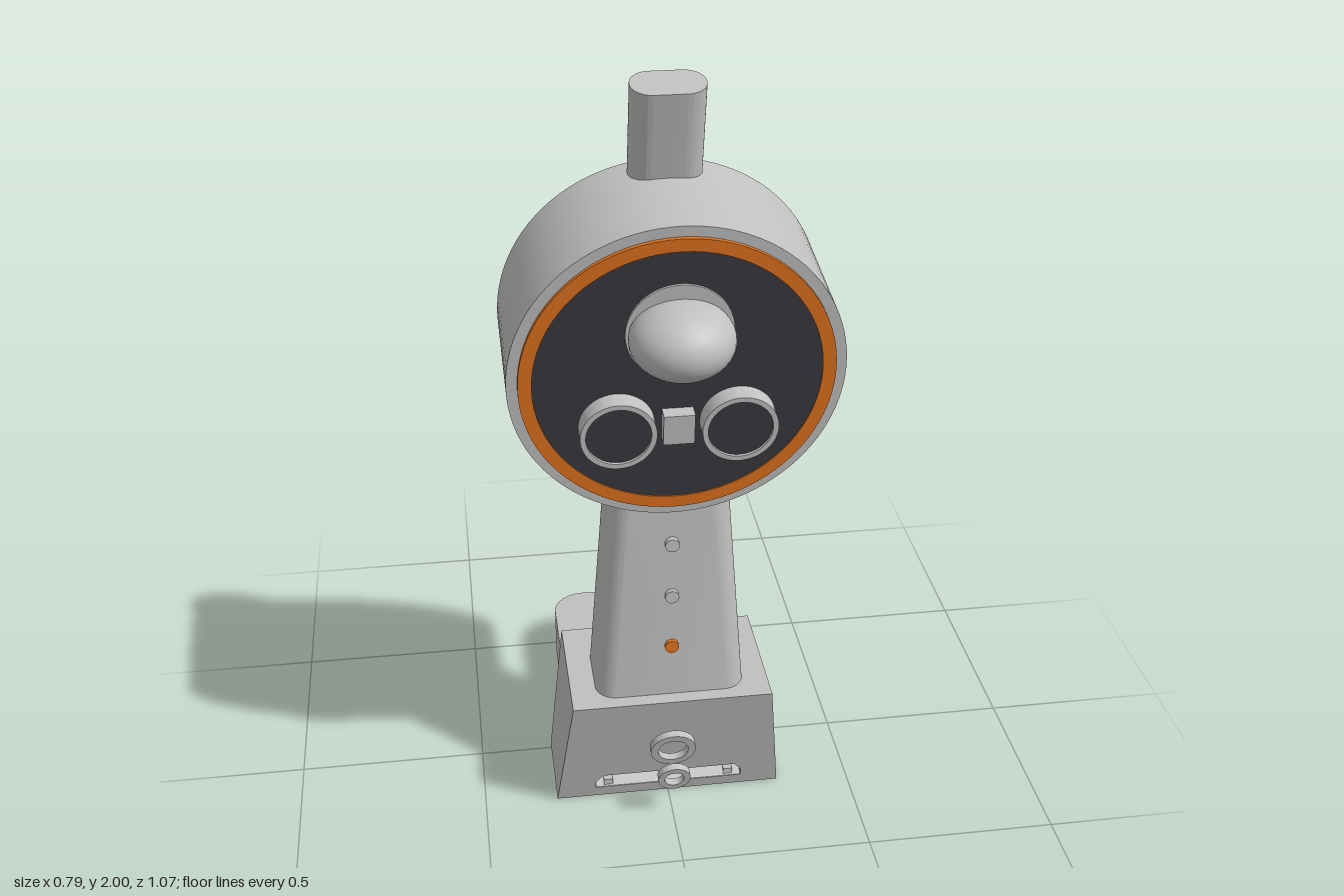
import * as THREE from 'three';
import { toCreasedNormals } from 'three/addons/utils/BufferGeometryUtils.js';

const mat = (name, color) => {
  const m = new THREE.MeshStandardMaterial({ color });
  m.name = name;
  return m;
};

// Rounded rectangle centred on the origin, counter-clockwise
function roundRect(hw, hh, r) {
  const s = new THREE.Shape();
  s.absarc(hw - r, -hh + r, r, -Math.PI / 2, 0);
  s.absarc(hw - r, hh - r, r, 0, Math.PI / 2);
  s.absarc(-hw + r, hh - r, r, Math.PI / 2, Math.PI);
  s.absarc(-hw + r, -hh + r, r, Math.PI, Math.PI * 1.5);
  s.closePath();
  return s;
}

// Horizontal ring of [x, y, z] points from a rounded rectangle
const ringAt = (y, hw, hd, r, zc = 0) =>
  roundRect(hw, hd, r).getPoints(10).slice(0, -1).map((p) => [p.x, y, zc - p.y]);

// Closed solid between a lower and an upper ring with equal point counts
function loft(a, b) {
  const pos = [];
  const n = a.length;
  const mid = (r) => [0, 1, 2].map((k) => r.reduce((s, p) => s + p[k], 0) / n);
  const ca = mid(a), cb = mid(b);
  for (let i = 0; i < n; i++) {
    const j = (i + 1) % n;
    pos.push(...a[i], ...a[j], ...b[j], ...a[i], ...b[j], ...b[i]);
    pos.push(...cb, ...b[i], ...b[j], ...ca, ...a[j], ...a[i]);
  }
  const g = new THREE.BufferGeometry();
  g.setAttribute('position', new THREE.Float32BufferAttribute(pos, 3));
  return toCreasedNormals(g, 0.6);
}

// Flat ring facing +z, from z = 0 to z = depth
function annulus(outer, inner, depth) {
  const s = new THREE.Shape().absarc(0, 0, outer, 0, Math.PI * 2);
  s.holes.push(new THREE.Path().absarc(0, 0, inner, 0, Math.PI * 2, true));
  const g = new THREE.ExtrudeGeometry(s, { depth, bevelEnabled: false, curveSegments: 40 });
  return toCreasedNormals(g, 0.6);
}

// Solid disc along z, centred
const disc = (r, depth, seg = 48) => new THREE.CylinderGeometry(r, r, depth, seg).rotateX(Math.PI / 2);

export function createModel() {
  const grey = mat('light grey', 0xc0c0c0);
  const dark = mat('dark panel', 0x3a3a40);
  const orange = mat('orange', 0xe0731d);
  const model = new THREE.Group();
  const add = (parent, name, geo, material, x = 0, y = 0, z = 0) => {
    const m = new THREE.Mesh(geo, material);
    m.name = name;
    m.position.set(x, y, z);
    parent.add(m);
    return m;
  };

  // Base body, with small chamfers at the lower back corners
  const bodyRing = (y, hw, front, c) => [
    [-hw, y, front], [hw, y, front], [hw, y, -0.042 + c], [hw - c, y, -0.042],
    [-hw + c, y, -0.042], [-hw, y, -0.042 + c],
  ];
  add(model, 'baseBody', loft(bodyRing(0, 0.305, 0.157, 0.024), bodyRing(0.375, 0.262, 0.253, 0.001)), grey);

  // Sloping front panel with a slot near the bottom
  const panel = new THREE.Shape([[-0.305, 0], [0.305, 0], [0.262, 0.375], [-0.262, 0.375]]
    .map((p) => new THREE.Vector2(...p)));
  panel.holes.push(new THREE.Path([[-0.2, 0.035], [-0.2, 0.06], [-0.18, 0.085], [0.18, 0.085], [0.2, 0.06], [0.2, 0.035]]
    .map((p) => new THREE.Vector2(...p))));
  const panelGeo = new THREE.ExtrudeGeometry(panel, { depth: 0.06, bevelEnabled: false });
  const pp = panelGeo.attributes.position;
  for (let i = 0; i < pp.count; i++) pp.setZ(i, pp.getZ(i) + 0.157 + 0.256 * pp.getY(i));
  panelGeo.computeVertexNormals();
  add(model, 'baseFrontPanel', panelGeo, grey);
  add(model, 'slotRamp', new THREE.BoxGeometry(0.398, 0.006, 0.068), grey, 0, 0.059, 0.2).rotation.x = Math.PI / 4;
  for (const s of [-1, 1]) add(model, 'slotPeg', new THREE.BoxGeometry(0.024, 0.02, 0.02), grey, s * 0.165, 0.047, 0.213);

  // Two rings in front of the base
  for (const [name, ro, ri, y, z] of [['largeRing', 0.06, 0.04, 0.222, 0.297], ['smallRing', 0.043, 0.026, 0.143, 0.32]]) {
    add(model, name, annulus(ro, ri, 0.02), grey, 0, y, z).rotation.x = 0.25;
  }

  // Rear knob
  add(model, 'rearKnob', disc(0.033, 0.05, 32), orange, 0, 0.265, -0.053);

  // Rear tray in three layers, the middle one notched for the socket
  const tray = (notched) => {
    if (!notched) return roundRect(0.252, 0.255, 0.09);
    const s = new THREE.Shape();
    s.moveTo(-0.07, 0.255).lineTo(-0.07, 0.205).lineTo(0.07, 0.205).lineTo(0.07, 0.255);
    s.absarc(0.162, 0.165, 0.09, Math.PI / 2, 0, true);
    s.absarc(0.162, -0.165, 0.09, 0, -Math.PI / 2, true);
    s.absarc(-0.162, -0.165, 0.09, -Math.PI / 2, -Math.PI, true);
    s.absarc(-0.162, 0.165, 0.09, Math.PI, Math.PI / 2, true);
    s.closePath();
    return s;
  };
  for (const [name, y0, y1, notched] of [['trayFloor', 0, 0.045, false], ['traySocketLayer', 0.045, 0.108, true], ['trayTop', 0.108, 0.152, false]]) {
    const g = new THREE.ExtrudeGeometry(tray(notched), { depth: y1 - y0, bevelEnabled: false, curveSegments: 12 });
    g.rotateX(-Math.PI / 2);
    add(model, name, toCreasedNormals(g, 0.6), grey, 0, y0, -0.283);
  }

  // Tapered neck with three buttons
  add(model, 'neck', loft(ringAt(0.37, 0.196, 0.118, 0.055, 0.157), ringAt(1.1, 0.139, 0.107, 0.05, 0.157)), grey);
  [0.53, 0.685, 0.84].forEach((y, i) =>
    add(model, 'neckButton', disc(0.018, 0.03, 20), i === 0 ? orange : grey, 0, y, 0.268));

  // Head, leaning forward
  const head = new THREE.Group();
  head.name = 'head';
  head.position.set(0, 1.365, 0.19);
  head.rotation.x = 0.122;
  model.add(head);
  add(head, 'headDrum', disc(0.396, 0.326, 96), grey);
  add(head, 'orangeRim', annulus(0.37, 0.338, 0.02), orange, 0, 0, 0.153);
  add(head, 'facePanel', disc(0.34, 0.02, 80), dark, 0, 0, 0.16);

  // Shallow dome on the back
  const a = 0.305, h = 0.054, R = (a * a + h * h) / (2 * h);
  const dome = new THREE.SphereGeometry(R, 64, 16, 0, Math.PI * 2, 0, Math.asin(a / R));
  dome.rotateX(-Math.PI / 2);
  add(head, 'backDome', dome, grey, 0, 0, -0.163 - h + R);

  // Main lens: flat seat and oval bulb
  add(head, 'bulbSeat', disc(0.125, 0.02), grey, 0, 0.131, 0.166);
  add(head, 'bulb', new THREE.SphereGeometry(1, 48, 32), grey, 0, 0.135, 0.21).scale.set(0.122, 0.088, 0.118);

  // Pair of round lenses and the small block between them
  for (const s of [-1, 1]) {
    add(head, 'lensBarrel', annulus(0.09, 0.077, 0.06), grey, s * 0.143, -0.119, 0.158);
    add(head, 'lensGlass', disc(0.078, 0.05), dark, s * 0.143, -0.119, 0.186);
  }
  add(head, 'sensorBlock', new THREE.BoxGeometry(0.074, 0.08, 0.05), grey, 0, -0.119, 0.18);

  // Top handle
  const handle = add(model, 'topHandle', loft(ringAt(-0.3, 0.087, 0.052, 0.05), ringAt(0, 0.087, 0.052, 0.05)), grey, 0, 1.988, 0.178);
  handle.rotation.x = 0.235;

  return model;
}
